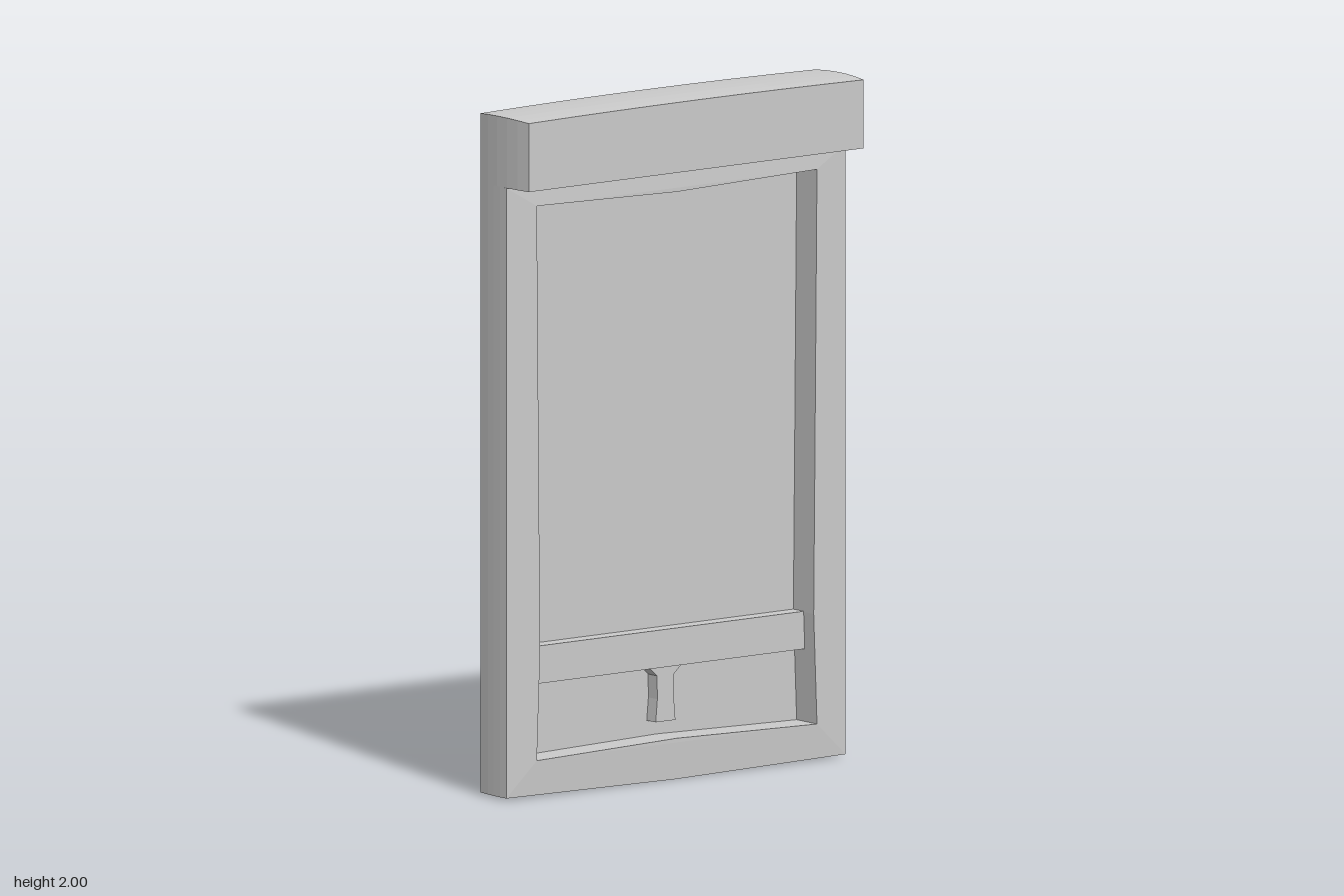
import * as THREE from 'three';

const BACK = -0.115, PANEL = -0.07, FRAME = 0.02, FRONT = 0.115;
const HALF = 0.612, TOP = 1.99, LINTEL = 1.79;

const material = new THREE.MeshStandardMaterial({ color: 0xcccccc, flatShading: true });

// Slight swelling of the outer faces, shared by all structural parts
function swell(geometry) {
  const p = geometry.attributes.position;
  for (let i = 0; i < p.count; i++) {
    const x = p.getX(i), y = p.getY(i), z = p.getZ(i);
    const overX = 1 - (x / FRONT) ** 2;
    const overZ = 1 - (z / HALF) ** 2;
    if (Math.abs(z) > HALF - 0.005) p.setZ(i, z + Math.sign(z) * 0.008 * overX);
    if (y > TOP - 0.005) p.setY(i, y + 0.005 * (overX + overZ));
    if (y < 0.01) p.setY(i, 0.008 * (1 - overZ));
    if (x < BACK + 0.003) p.setX(i, x + 0.004 - 0.008 * overZ);
    // inner lip of the frame stands slightly proud
    if (x > FRAME - 0.005 && Math.abs(z) < 0.55 && y > 0.05 && y < 1.75) p.setX(i, x + 0.005);
  }
  geometry.computeVertexNormals();
  return geometry;
}

function box(x0, x1, y0, y1, half, segments = [1, 1, 1]) {
  const g = new THREE.BoxGeometry(x1 - x0, y1 - y0, half * 2, ...segments);
  return g.translate((x0 + x1) / 2, (y0 + y1) / 2, 0);
}

// Outline drawn in the z-y plane, pushed out along +x
function slab(shape, x0, x1, steps = 1) {
  const g = new THREE.ExtrudeGeometry(shape, { depth: x1 - x0, steps, bevelEnabled: false });
  return g.rotateY(Math.PI / 2).translate(x0, 0, 0);
}

// Closed outline from its right half, mirrored to the left
function mirrored(points) {
  const left = points.filter(([u]) => u > 0).reverse().map(([u, y]) => [-u, y]);
  return [...points, ...left].map(([u, y]) => new THREE.Vector2(u, y));
}

export function createModel() {
  const group = new THREE.Group();
  const add = (name, geometry) => {
    const mesh = new THREE.Mesh(geometry, material);
    mesh.name = name;
    group.add(mesh);
  };

  // Full-height back panel
  add('backPanel', swell(box(BACK, PANEL, 0, TOP, HALF, [1, 1, 8])));

  // Frame around the recess, its opening narrowing a little towards mid-sides
  const outline = new THREE.Shape(mirrored([[0, 0], [HALF, 0], [HALF, LINTEL], [0, LINTEL]]));
  outline.holes.push(new THREE.Path(mirrored([
    [0, 0.12], [0.512, 0.108], [0.5, 0.43], [0.505, 0.95], [0.512, 1.727], [0, 1.715],
  ])));
  add('frame', swell(slab(outline, PANEL, FRAME, 3)));

  // Overhanging top beam
  add('topBeam', swell(box(PANEL, FRONT, LINTEL, TOP, HALF, [4, 1, 8])));

  // Cross rail low in the recess
  add('crossRail', box(PANEL, -0.022, 0.322, 0.432, 0.503));

  // Small flared bracket beneath the rail
  const bracket = new THREE.Shape(mirrored([
    [0.036, 0.163], [0.03, 0.23], [0.031, 0.298], [0.058, 0.322],
  ]));
  add('bracket', slab(bracket, PANEL, -0.028));

  return group;
}
